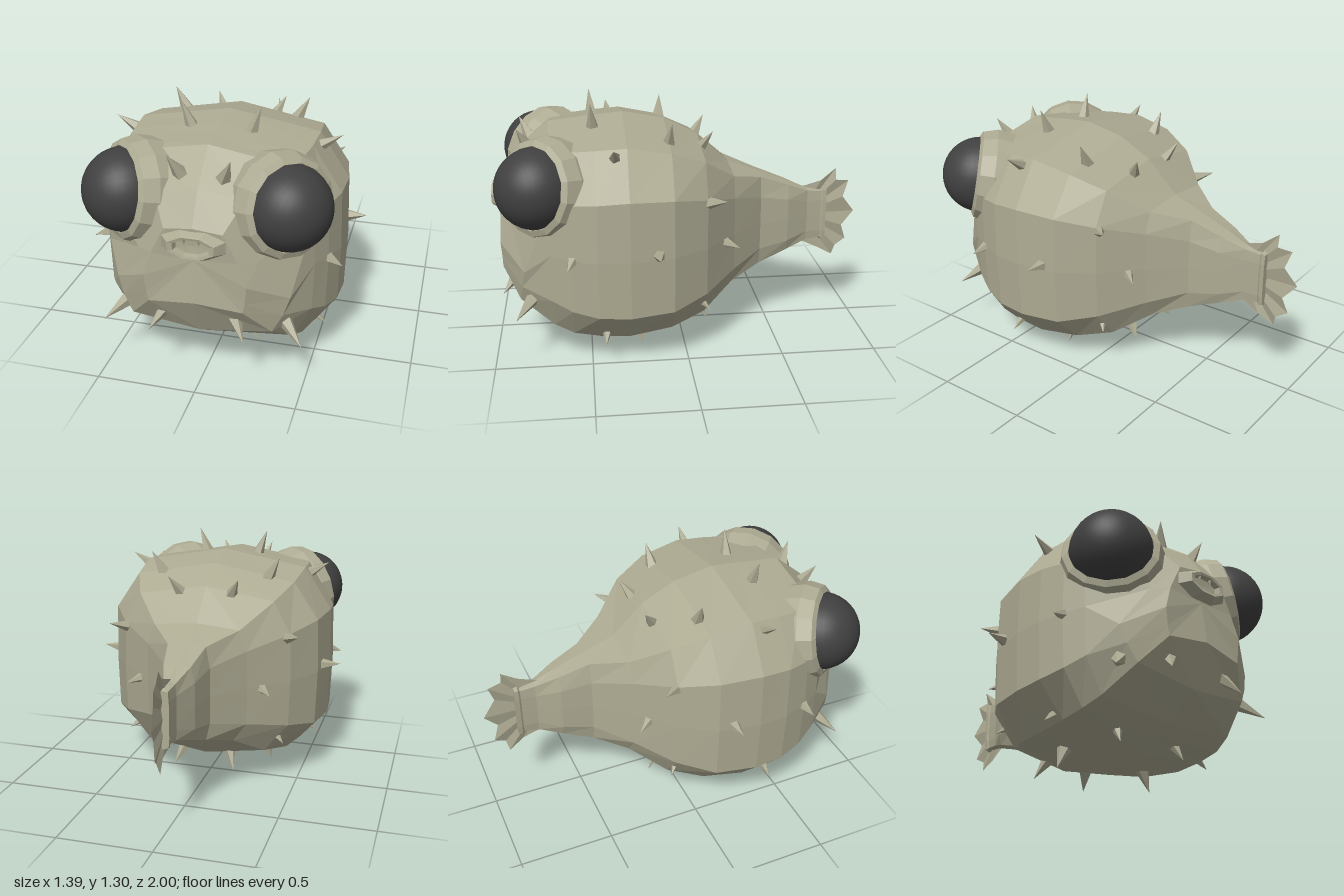
import * as THREE from 'three';

const skin = new THREE.MeshStandardMaterial({ color: 0xaeab93, flatShading: true, side: THREE.DoubleSide });
skin.name = 'olive grey skin';
const eyeBlack = new THREE.MeshStandardMaterial({ color: 0x404040 });
eyeBlack.name = 'charcoal eye';

function add(parent, name, geometry, material) {
  const mesh = new THREE.Mesh(geometry, material);
  mesh.name = name;
  parent.add(mesh);
  return mesh;
}

// Skin a list of half cross-sections (top to bottom, front to back), mirrored in x
function loftHalves(halves, frontTip, backTip) {
  const rings = halves.map(h => [...h, ...h.slice(1, -1).reverse().map(([x, y, z]) => [-x, y, z])]);
  const n = rings[0].length, last = (rings.length - 1) * n;
  const pos = [...rings.flat(2), ...frontTip, ...backTip];
  const front = rings.length * n, index = [];
  for (let j = 0; j < n; j++) {
    const k = (j + 1) % n;
    for (let i = 0; i < last; i += n) index.push(i + j, i + k, i + n + j, i + k, i + n + k, i + n + j);
    index.push(front, k, j, front + 1, last + j, last + k);
  }
  const g = new THREE.BufferGeometry();
  g.setAttribute('position', new THREE.Float32BufferAttribute(pos, 3));
  g.setIndex(index);
  g.computeVertexNormals();
  return g;
}

function makeBody() {
  // Face: muzzle patch, then the edge of the cheeks and chin
  const face = [
    [[0, .88, .965], [.14, .86, .955], [.21, .72, .95], [.25, .6, .955], [.24, .51, .95], [.23, .46, .95], [0, .49, .97]],
    [[0, 1.03, .87], [.22, 1.0, .85], [.29, .71, .89], [.43, .5, .83], [.4, .41, .845], [.35, .32, .86], [0, .28, .87]],
  ];
  // z, top y, upper corner x y, side x, side high y, side low y, lower corner x y, bottom y
  const trunk = [
    [.69, 1.18, .4, 1.11, .51, .87, .37, .42, .2, .17],
    [.59, 1.19, .43, 1.12, .56, .89, .33, .45, .16, .13],
    [.46, 1.205, .45, 1.13, .6, .9, .305, .46, .14, .085],
    [.3, 1.22, .46, 1.14, .61, .91, .3, .46, .13, .055],
    [.08, 1.18, .44, 1.1, .575, .9, .31, .42, .15, .1],
    [-.1, 1.09, .37, 1.03, .46, .86, .35, .33, .19, .14],
    [-.27, .93, .23, .91, .27, .8, .4, .2, .3, .29],
    [-.44, .87, .1, .86, .12, .75, .45, .1, .36, .35],
    [-.6, .81, .07, .8, .09, .72, .48, .07, .42, .41],
    [-.72, .76, .03, .75, .035, .69, .51, .03, .46, .45],
    [-.8, .745, .024, .74, .028, .69, .51, .024, .47, .46],
    [-.81, .76, .03, .75, .034, .69, .51, .03, .46, .45],
    [-.83, .75, .03, .745, .034, .69, .51, .03, .465, .455],
  ].map(([z, t, ux, uy, w, hi, lo, lx, ly, b]) =>
    [[0, t, z], [ux, uy, z], [w, hi, z], [w * 1.015, (hi + lo) / 2, z], [w, lo, z], [lx, ly, z], [0, b, z]]);
  return loftHalves([...face, ...trunk], [0, .71, .95], [0, .6, -.83]);
}

// Pleated fan with a jagged trailing edge
function makeTail() {
  const rim = [[.76, -.68], [.8, -.8], [.865, -.885], [.8, -.885], [.79, -.96], [.7, -.93], [.61, -1],
    [.53, -.93], [.445, -.96], [.41, -.9], [.35, -.885], [.4, -.8], [.45, -.68]];
  const pos = [];
  const point = i => [i % 2 ? .009 : -.005, rim[i][0], rim[i][1]];
  for (let i = 0; i < rim.length - 1; i++) pos.push(0, .605, -.7, ...point(i), ...point(i + 1));
  const g = new THREE.BufferGeometry();
  g.setAttribute('position', new THREE.Float32BufferAttribute(pos, 3));
  g.computeVertexNormals();
  return g;
}

// Base point, then tip, for the spines on the left side
const SPINES = [
  [.15, 1.17, .46, .2, 1.305, .47], [.3, 1.12, .08, .36, 1.23, .07],
  [.46, 1.09, .36, .58, 1.16, .37], [.11, 1.08, .8, .15, 1.175, .85],
  [.59, .63, .16, .695, .64, .16], [.55, .61, .58, .64, .58, .61],
  [.41, .34, .8, .5, .265, .88], [.18, .38, .89, .235, .3, .96],
  [.46, .19, .42, .545, .125, .43], [.19, .16, .53, .21, .06, .58],
  [.27, .1, .23, .31, 0, .23], [.14, 1.05, -.1, .19, 1.145, -.16],
  [.44, .84, -.1, .52, .87, -.19], [.32, .59, -.19, .395, .57, -.28],
  [.37, .3, -.06, .44, .25, -.12], [.13, .16, -.08, .17, .07, -.145],
];
const UP = new THREE.Vector3(0, 1, 0);

function addSpine(parent, side, [bx, by, bz, tx, ty, tz]) {
  const tip = new THREE.Vector3(side * tx, ty, tz);
  const dir = tip.clone().sub(new THREE.Vector3(side * bx, by, bz));
  const length = dir.length() + .03;
  dir.normalize();
  const spine = add(parent, 'spine', new THREE.ConeGeometry(.042, length, 5), skin);
  spine.quaternion.setFromUnitVectors(UP, dir);
  spine.position.copy(tip).addScaledVector(dir, -length / 2);
}

function addEye(parent, side) {
  const eye = new THREE.Group();
  eye.name = side > 0 ? 'leftEye' : 'rightEye';
  eye.position.set(side * .4, .935, .752);
  eye.quaternion.setFromUnitVectors(UP, new THREE.Vector3(side * .68, .2, .68).normalize());
  add(eye, 'eyeball', new THREE.SphereGeometry(.206, 32, 20), eyeBlack);
  const profile = [[.25, -.18], [.262, -.06], [.24, .015], [.21, .03], [.195, 0]];
  add(eye, 'eyeSocket', new THREE.LatheGeometry(profile.map(p => new THREE.Vector2(...p)), 14), skin);
  parent.add(eye);
}

function addMouth(parent) {
  const mouth = new THREE.Group();
  mouth.name = 'mouth';
  mouth.position.set(0, .795, 1);
  // Oval lip with a shallow hollow
  const profile = [[1.5, -.07], [1.05, -.012], [.95, 0], [.75, -.003], [.68, -.03], [0, -.033]];
  const lip = new THREE.LatheGeometry(profile.map(p => new THREE.Vector2(...p)), 8, Math.PI / 8);
  lip.rotateX(Math.PI / 2).scale(.125, .06, 1);
  add(mouth, 'lips', lip, skin);
  for (const x of [-.035, .035]) {
    const tooth = add(mouth, 'tooth', new THREE.ConeGeometry(.012, .035, 4), skin);
    tooth.position.set(x, .025, -.02);
    tooth.rotation.x = Math.PI;
  }
  parent.add(mouth);
}

export function createModel() {
  const fish = new THREE.Group();
  fish.name = 'pufferfish';
  add(fish, 'body', makeBody(), skin);
  add(fish, 'tailFin', makeTail(), skin);
  addMouth(fish);
  const spines = new THREE.Group();
  spines.name = 'spines';
  fish.add(spines);
  for (const side of [1, -1]) {
    addEye(fish, side);
    SPINES.forEach(s => addSpine(spines, side, s));
  }
  return fish;
}
